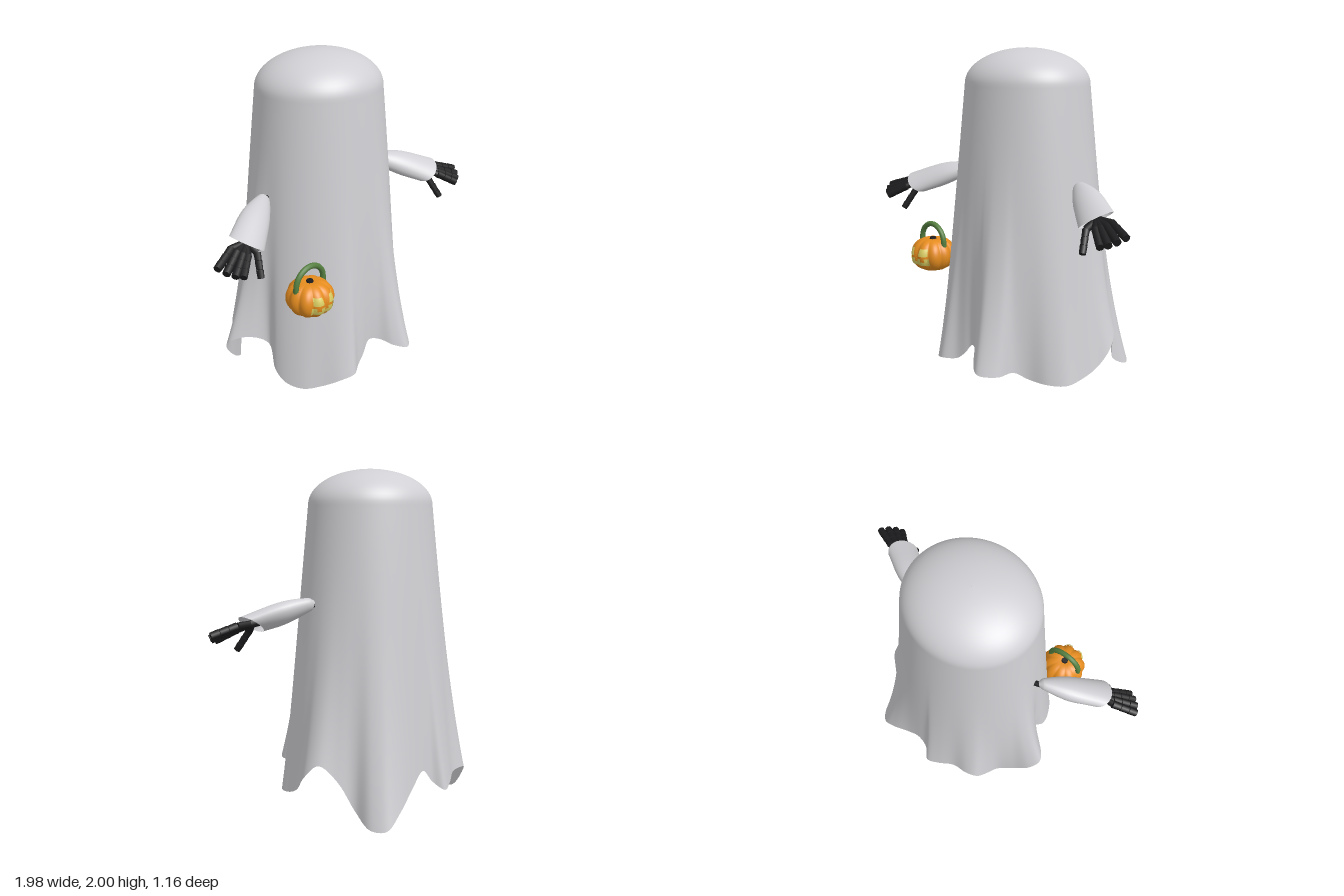
import * as THREE from 'three';

const V = (x, y, z) => new THREE.Vector3(x, y, z);
const paint = (name, color, side = THREE.FrontSide) => {
  const m = new THREE.MeshStandardMaterial({ color, side });
  m.name = name;
  return m;
};

function add(parent, name, geometry, material) {
  const mesh = new THREE.Mesh(geometry, material);
  mesh.name = name;
  parent.add(mesh);
  return mesh;
}

// Skin closed rings of points, listed from the top down
function loft(rings) {
  const n = rings[0].length, idx = [];
  for (let i = 0; i < rings.length - 1; i++) {
    for (let j = 0; j < n; j++) {
      const a = i * n + j, b = i * n + (j + 1) % n;
      idx.push(a, b, a + n, b, b + n, a + n);
    }
  }
  const g = new THREE.BufferGeometry().setFromPoints(rings.flat());
  g.setIndex(idx);
  g.computeVertexNormals();
  return g;
}

// Hem of the sheet: x, y, z around the model, starting at its left side
const HEM = [
  .635, .28, -.09, .61, .18, 0, .575, .125, .11, .55, .11, .2, .47, .115, .275, .36, .13, .32,
  .305, .175, .385, .29, .18, .5, .2, .19, .575, .12, .22, .53, .06, .26, .46, 0, .27, .43,
  -.06, .2, .44, -.12, .155, .455, -.2, .15, .5, -.27, .13, .47, -.36, .08, .38, -.44, .06, .3,
  -.49, .08, .2, -.5, .14, .12, -.47, .27, .03, -.57, .33, -.04, -.655, .29, -.13, -.62, .19, -.2,
  -.52, .06, -.25, -.43, 0, -.31, -.4, .04, -.38, -.365, .17, -.47, -.3, .2, -.5, -.2, .2, -.51,
  -.1, .17, -.56, -.02, .15, -.585, .03, .2, -.53, .1, .28, -.515, .2, .2, -.52, .33, .1, -.54,
  .43, .02, -.53, .48, .02, -.45, .47, .09, -.33, .53, .26, -.25, .6, .355, -.17,
];

function sheetGeometry() {
  const cx = .014, cz = -.026, top = 1.79, points = [], rings = [];
  for (let i = 0; i < HEM.length; i += 3) points.push(V(HEM[i], HEM[i + 1], HEM[i + 2]));
  const curve = new THREE.CatmullRomCurve3(points, true);
  const hem = Array.from({ length: 246 }, (_, i) => {
    const h = curve.getPoint(i / 246);
    const a = Math.atan2(h.z - cz, h.x - cx);
    // Slightly oval head radius in this direction
    const head = 1 / Math.hypot(Math.cos(a) / .385, Math.sin(a) / .354);
    return { a, head, y: h.y, r: Math.hypot(h.x - cx, h.z - cz) };
  });
  const at = (a, r, y) => V(cx + r * Math.cos(a), y, cz + r * Math.sin(a));
  // Rounded head
  for (let i = 0; i < 16; i++) {
    const t = Math.max(.004, i / 16 * Math.PI / 2);
    rings.push(hem.map(h => at(h.a, h.head * Math.sin(t), top + .21 * Math.cos(t))));
  }
  // Cone that swells into folds towards the hem
  for (let i = 0; i <= 44; i++) {
    const s = i / 44;
    rings.push(hem.map(h => {
      const y = top + (h.y - top) * s;
      const fold = h.r - h.head - .1 * (top - h.y);
      return at(h.a, h.head + .1 * (top - y) + fold * s ** 3, y);
    }));
  }
  return loft(rings);
}

// Sleeve lofted from ellipses: centre, then two half axes
function sleeveGeometry(side) {
  const sections = [
    [V(.445, 1.24, .005), V(.004, .012, 0), V(-.007, 0, .008)],
    [V(.465, 1.235, .02), V(.01, .035, 0), V(-.022, 0, .025)],
    [V(.59, 1.193, .1), V(.025, .065, -.01), V(-.04, 0, .062)],
    [V(.745, 1.13, .21), V(.075, .05, 0), V(-.02, -.015, .088)],
  ];
  const [c, e, f] = [0, 1, 2].map(k => new THREE.CatmullRomCurve3(sections.map(s => s[k])));
  const rings = [];
  for (let i = 0; i <= 18; i++) {
    const t = i / 18, ring = [];
    for (let j = 0; j < 28; j++) {
      const a = -side * j / 28 * Math.PI * 2;
      const p = c.getPoint(t).addScaledVector(e.getPoint(t), Math.cos(a))
        .addScaledVector(f.getPoint(t), Math.sin(a));
      ring.push(V(p.x * side, p.y, p.z));
    }
    rings.push(ring);
  }
  return loft(rings);
}

// Cylinder between two points
function rod(parent, name, a, b, r0, r1, material) {
  const mesh = add(parent, name, new THREE.CylinderGeometry(r1, r0, a.distanceTo(b), 8), material);
  mesh.position.copy(a).lerp(b, .5);
  mesh.quaternion.setFromUnitVectors(V(0, 1, 0), b.clone().sub(a).normalize());
}

function makeArm(side, mats) {
  const arm = new THREE.Group();
  arm.name = side > 0 ? 'leftArm' : 'rightArm';
  const P = (x, y, z) => V(x * side, y, z);
  add(arm, 'sleeve', sleeveGeometry(side), mats.sheet);
  rod(arm, 'elbow', P(.42, 1.225, 0), P(.455, 1.23, .01), .017, .017, mats.black);
  rod(arm, 'wrist', P(.62, 1.17, .12), P(.75, 1.135, .205), .022, .026, mats.black);
  // Palm bridges the wrist and each finger
  const fingers = [
    [P(.845, 1.132, .205), P(.985, 1.086, .262)],
    [P(.832, 1.118, .233), P(.962, 1.066, .305)],
    [P(.815, 1.107, .258), P(.93, 1.05, .337)],
    [P(.795, 1.1, .275), P(.892, 1.038, .355)],
    [P(.72, 1.085, .26), P(.757, .97, .332)],
  ];
  fingers.forEach(([a, b], k) => {
    const [name, thick] = k < 4 ? ['finger', .0235] : ['thumb', .021];
    rod(arm, 'palm', P(.745, 1.135, .205), a, .02, .021, mats.black);
    for (let i = 0; i < 3; i++) {
      const p = a.clone().lerp(b, i / 3), q = a.clone().lerp(b, (i + .95) / 3);
      rod(arm, name, p, q, thick, thick - .002, mats.black);
    }
  });
  return arm;
}

function makeBasket(mats) {
  const basket = new THREE.Group();
  basket.name = 'pumpkinBasket';
  basket.position.set(-.432, .737, .358);
  const rib = a => .139 * (.9 + .1 * Math.abs(Math.cos(5 * a)));
  const rings = [];
  for (let i = 0; i <= 28; i++) {
    const t = Math.max(.01, Math.min(.99, i / 28)) * Math.PI;
    const ring = [], s = Math.sin(t) ** .92;
    for (let j = 0; j < 120; j++) {
      const a = j / 120 * Math.PI * 2, r = rib(a) * s;
      ring.push(V(r * Math.cos(a), .112 * Math.cos(t) * (1 - .2 * (1 - s) ** 2), r * Math.sin(a)));
    }
    rings.push(ring);
  }
  add(basket, 'pumpkin', loft(rings), mats.orange);

  // Face pieces wrapped on to the front of the pumpkin
  const face = (name, x, y, w, h, taper = 1) => {
    const g = new THREE.PlaneGeometry(w, h, 20, 8), p = g.attributes.position;
    for (let i = 0; i < p.count; i++) {
      const v = p.getY(i) / h + .5;
      const px = x + p.getX(i) * (1 + (taper - 1) * v), py = y + p.getY(i);
      const s = Math.sqrt(1 - (py / .112) ** 2) ** .92;
      let pz = .12 * s;
      for (let k = 0; k < 8; k++) {
        const r = rib(Math.atan2(pz, px)) * s;
        pz = Math.sqrt(Math.max(.0004, r * r - px * px));
      }
      p.setXYZ(i, px, py, pz + .006);
    }
    g.computeVertexNormals();
    add(basket, name, g, mats.yellow);
  };
  for (const s of [-1, 1]) {
    face('eye', s * .047, .034, .056, .045, .75);
    face('mouthCorner', s * .073, -.014, .024, .022);
    face('mouthTooth', s * .026, -.014, .026, .022);
  }
  face('mouth', 0, -.036, .168, .024, 1.02);

  // Handle arch and dark stem
  add(basket, 'handle', new THREE.TorusGeometry(.103, .0165, 12, 40, Math.PI), mats.green)
    .position.set(0, .086, 0);
  for (const s of [-1, 1]) {
    rod(basket, 'handleEnd', V(s * .103, .06, 0), V(s * .103, .088, 0), .0165, .0165, mats.green);
  }
  rod(basket, 'stem', V(0, .08, 0), V(0, .106, 0), .024, .019, mats.black);
  return basket;
}

export function createModel() {
  const mats = {
    sheet: paint('sheet white', 0xd0d0d4, THREE.DoubleSide),
    black: paint('hand black', 0x1d1d1f),
    orange: paint('pumpkin orange', 0xe58c1f),
    yellow: paint('face yellow', 0xd9cc62, THREE.DoubleSide),
    green: paint('handle green', 0x557f40),
  };
  const model = new THREE.Group();
  model.name = 'sheetGhost';
  add(model, 'sheet', sheetGeometry(), mats.sheet);
  model.add(makeArm(1, mats), makeArm(-1, mats), makeBasket(mats));
  return model;
}
